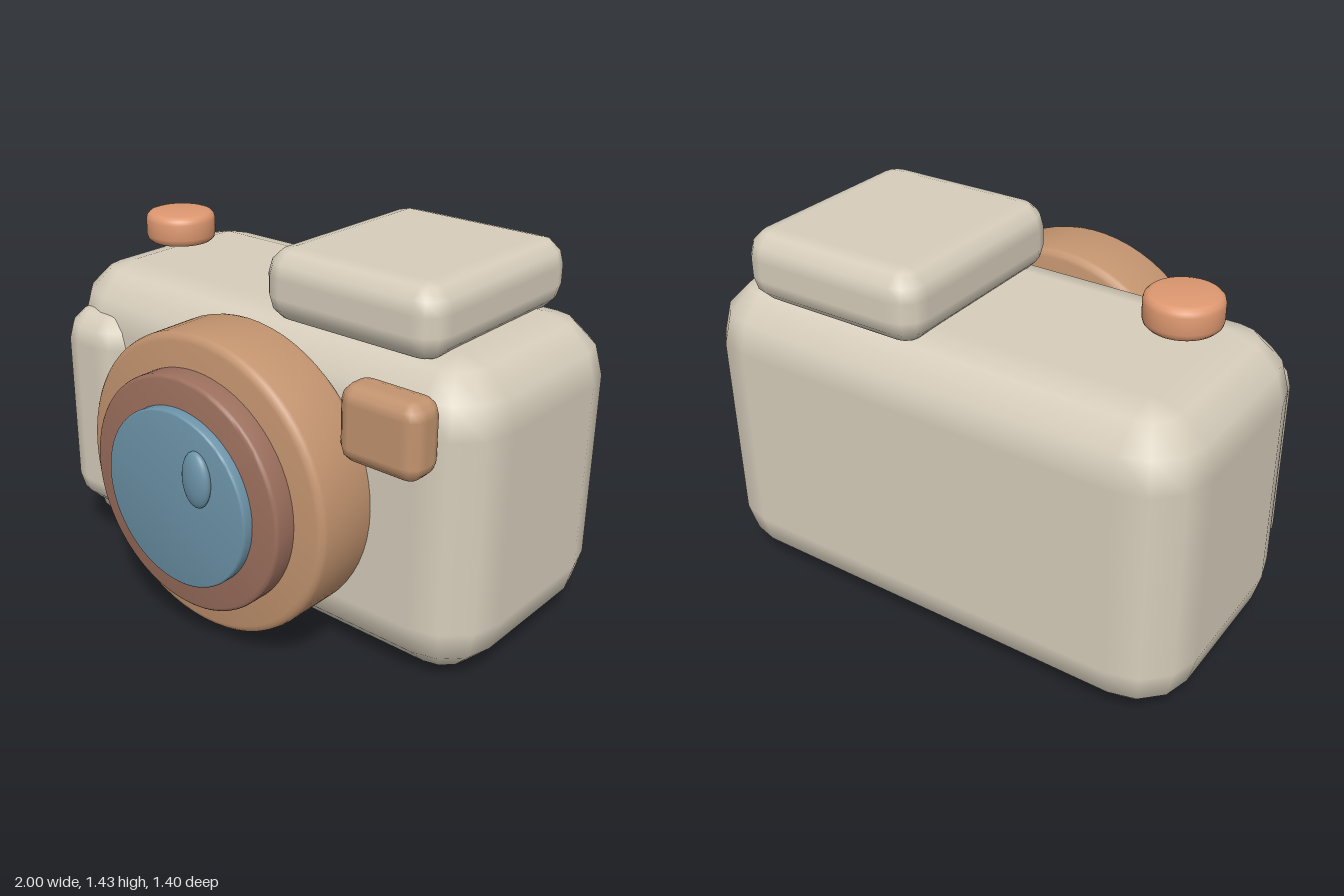
import * as THREE from 'three';
import { toCreasedNormals } from 'three/addons/utils/BufferGeometryUtils.js';

const mat = (name, color) => {
  const m = new THREE.MeshStandardMaterial({ color });
  m.name = name;
  return m;
};

// Box given by its limits, with three-step rounded edges: a sphere whose octants are pushed apart
function softBox([x0, x1], [y0, y1], [z0, z1], r) {
  const g = new THREE.SphereGeometry(1, 16, 9);
  const p = g.attributes.position, n = g.attributes.normal;
  const hx = (x1 - x0) / 2 - r, hy = (y1 - y0) / 2 - r, hz = (z1 - z0) / 2 - r;
  const q = Math.PI / 2;
  for (let i = 0; i < p.count; i++) {
    const col = (i % 17) % 16, row = Math.floor(i / 17);
    const quad = Math.floor(col / 4), phi = (quad + (col % 4) / 3) * q;
    const lower = row > 4, cap = row === 0 || row === 9;
    const theta = cap ? (row ? Math.PI : 0) : lower ? q + ((row - 5) / 3) * q : ((row - 1) / 3) * q;
    const d = new THREE.Vector3(
      -Math.cos(phi) * Math.sin(theta), Math.cos(theta), Math.sin(phi) * Math.sin(theta));
    const sx = cap ? 0 : quad === 1 || quad === 2 ? 1 : -1;
    const sz = cap ? 0 : quad < 2 ? 1 : -1;
    p.setXYZ(i, d.x * r + sx * hx, d.y * r + (lower ? -hy : hy), d.z * r + sz * hz);
    n.setXYZ(i, d.x, d.y, d.z);
  }
  return g.translate((x0 + x1) / 2, (y0 + y1) / 2, (z0 + z1) / 2);
}

// Upright disc from y = 0 to h with rounded rims
function softDisc(radius, h, b) {
  const pts = [new THREE.Vector2(0, 0)];
  for (const [cy, start] of [[b, -Math.PI / 2], [h - b, 0]]) {
    for (let i = 0; i <= 3; i++) {
      const a = start + (i / 3) * Math.PI / 2;
      pts.push(new THREE.Vector2(radius - b + b * Math.cos(a), cy + b * Math.sin(a)));
    }
  }
  pts.push(new THREE.Vector2(0, h));
  return toCreasedNormals(new THREE.LatheGeometry(pts, 64), 0.7);
}

export function createModel() {
  const group = new THREE.Group();
  group.name = 'camera';
  const cream = mat('cream', 0xd6cdbb);
  const tan = mat('tan', 0xc3946f);
  const brown = mat('brown', 0x9c6f5d);
  const blue = mat('glass blue', 0x6c93a8);
  const orange = mat('orange', 0xdd9870);
  const add = (name, geometry, material) => {
    const m = new THREE.Mesh(geometry, material);
    m.name = name;
    group.add(m);
    return m;
  };

  // Cream housing
  add('body', softBox([-1, 1], [0, 1.19], [-0.7, 0.28], 0.23), cream);
  add('topHousing', softBox([0.02, 0.78], [1.16, 1.43], [-0.65, 0.21], 0.1), cream);
  add('handGrip', softBox([-0.95, -0.595], [0.17, 1.03], [0.05, 0.35], 0.13), cream);

  // Small window beside the lens
  add('flash', softBox([0.53, 0.86], [0.84, 1.12], [0.24, 0.4], 0.06), tan);

  // Stepped lens
  const lens = [
    ['lensBarrel', 0.567, 0.255, 0.535, 0.03, tan],
    ['lensRing', 0.443, 0.5, 0.62, 0.015, brown],
    ['lensGlass', 0.333, 0.59, 0.66, 0.008, blue],
  ];
  for (const [name, r, z0, z1, bevel, material] of lens) {
    add(name, softDisc(r, z1 - z0, bevel).rotateX(Math.PI / 2).translate(0.035, 0.625, z0), material);
  }

  // Raised glint on the glass
  const glint = add('lensGlint', new THREE.SphereGeometry(1, 32, 20), blue);
  glint.scale.set(0.068, 0.105, 0.033);
  glint.position.set(0.155, 0.745, 0.665);
  glint.rotation.y = -0.12;

  // Shutter button hovering above the body
  add('shutterButton', softDisc(0.137, 0.12, 0.03).translate(-0.685, 1.25, -0.11), orange);

  return group;
}
